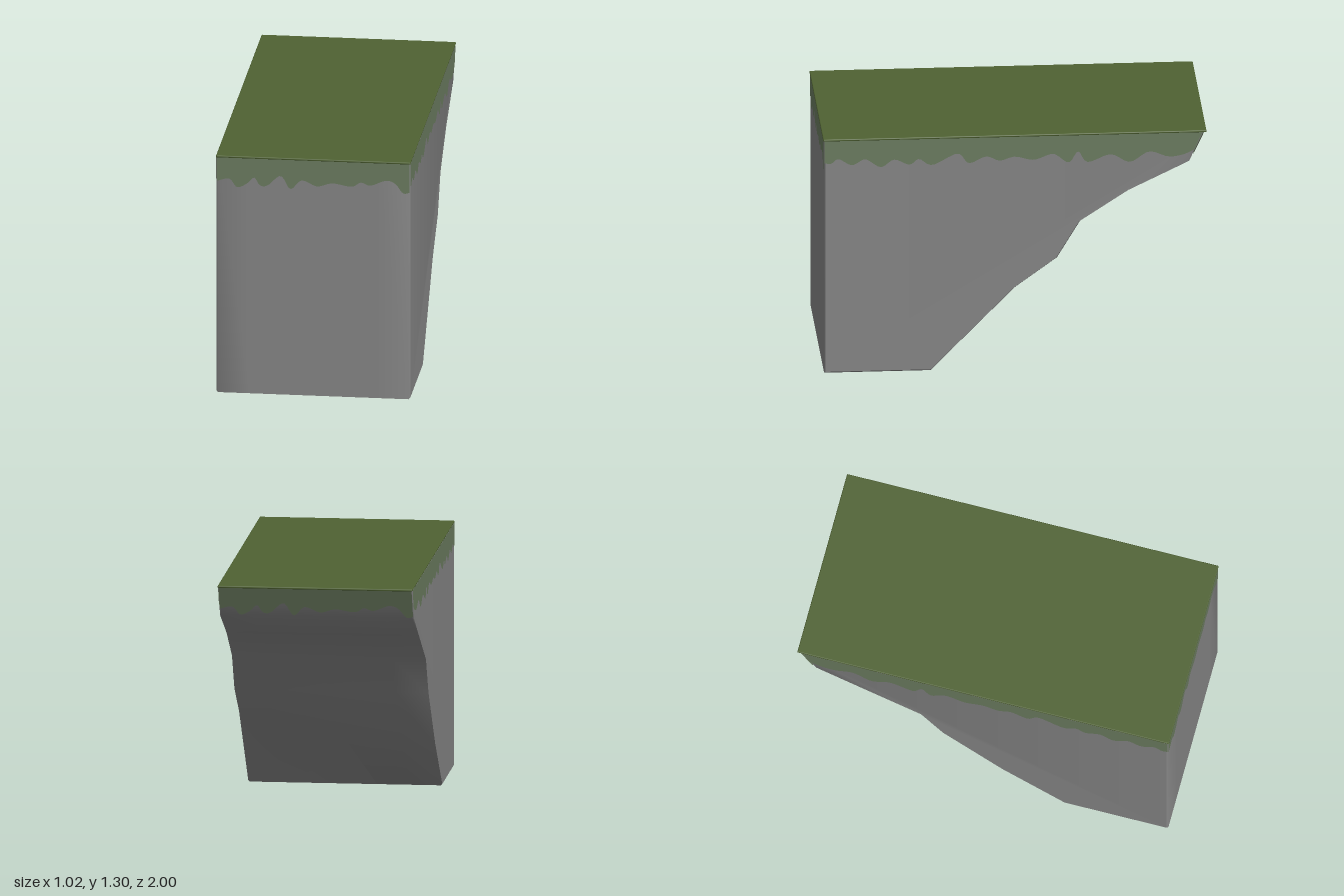
import * as THREE from 'three';
import { toCreasedNormals } from 'three/addons/utils/BufferGeometryUtils.js';
import { RoundedBoxGeometry } from 'three/addons/geometries/RoundedBoxGeometry.js';

const HALF = 0.508;

// Side outlines as [z, y]; the overhang differs slightly on the two sides
const outlineLeft = [[0.995, 0], [0.44, 0], [0, 0.45], [-0.22, 0.61], [-0.34, 0.81],
  [-0.6, 0.98], [-0.91, 1.13], [-0.985, 1.292], [0.995, 1.292]];
const outlineRight = outlineLeft.map((p) => [...p]);
outlineRight[2] = [0.1, 0.28];
outlineRight[5] = [-0.68, 1.0];

// Lower edges of the moss as [along, y]
const mossFront = [[-0.505, 1.16], [-0.44, 1.175], [-0.4, 1.13], [-0.35, 1.15], [-0.31, 1.185], [-0.28, 1.145],
  [-0.24, 1.145], [-0.17, 1.2], [-0.12, 1.13], [-0.06, 1.18], [0.02, 1.15], [0.1, 1.17], [0.2, 1.155], [0.25, 1.18],
  [0.3, 1.165], [0.38, 1.195], [0.43, 1.18], [0.47, 1.13], [0.505, 1.135]];
const mossSide = [[-0.935, 1.195], [-0.88, 1.17], [-0.8, 1.16], [-0.7, 1.19], [-0.6, 1.135], [-0.5, 1.18], [-0.38, 1.14],
  [-0.33, 1.2], [-0.28, 1.14], [-0.2, 1.19], [-0.1, 1.16], [0, 1.18], [0.08, 1.16], [0.15, 1.185], [0.24, 1.15],
  [0.3, 1.205], [0.43, 1.145], [0.5, 1.18], [0.55, 1.15], [0.63, 1.18], [0.7, 1.14], [0.78, 1.185], [0.85, 1.155],
  [0.92, 1.19], [0.96, 1.165], [0.994, 1.17]];

// Rock: lofted across x from one outline to the other, with narrow bevels at the sides
function rockGeometry() {
  const inset = ([z, y]) => [0.25 + (z - 0.25) * 0.99, 0.75 + (y - 0.75) * 0.99];
  const rings = [];
  for (let i = 0; i <= 6; i++) {
    const t = i / 6;
    const pts = outlineRight.map(([z, y], k) => [
      z + (outlineLeft[k][0] - z) * t, y + (outlineLeft[k][1] - y) * t]);
    rings.push({ x: -0.5 + t, pts });
  }
  rings.unshift({ x: -HALF, pts: outlineRight.map(inset) });
  rings.push({ x: HALF, pts: outlineLeft.map(inset) });

  const n = outlineLeft.length;
  const position = rings.flatMap(({ x, pts }) => pts.flatMap(([z, y]) => [x, y, z]));
  const index = [];
  for (let r = 0; r < rings.length - 1; r++) {
    for (let i = 0; i < n; i++) {
      const j = (i + 1) % n;
      const a = r * n + i, d = r * n + j, b = a + n, c = d + n;
      index.push(a, d, c, a, c, b);
    }
  }
  // flat side caps
  const cap = (ring) => THREE.ShapeUtils.triangulateShape(
    ring.pts.map(([z, y]) => new THREE.Vector2(-z, y)), []);
  const last = (rings.length - 1) * n;
  cap(rings[0]).forEach(([a, b, c]) => index.push(a, c, b));
  cap(rings[rings.length - 1]).forEach(([a, b, c]) => index.push(last + a, last + b, last + c));

  const geo = new THREE.BufferGeometry();
  geo.setAttribute('position', new THREE.Float32BufferAttribute(position, 3));
  geo.setIndex(index);
  return toCreasedNormals(geo, 0.75);
}

// Moss sheet: wavy lower edge, straight top, placed in space by a mapping rule
function mossGeometry(edge, topStart, topEnd, place) {
  const shape = new THREE.Shape();
  shape.moveTo(...edge[0]);
  shape.splineThru(edge.slice(1).map((p) => new THREE.Vector2(...p)));
  shape.lineTo(topEnd, 1.29);
  shape.lineTo(topStart, 1.29);
  const geo = new THREE.ShapeGeometry(shape, 4);
  const pos = geo.attributes.position;
  for (let i = 0; i < pos.count; i++) pos.setXYZ(i, ...place(pos.getX(i), pos.getY(i)));
  geo.computeVertexNormals();
  return geo;
}

export function createModel() {
  const stone = new THREE.MeshStandardMaterial({ color: 0x868686, side: THREE.DoubleSide });
  stone.name = 'stone';
  const moss = new THREE.MeshStandardMaterial({ color: 0x6b7c60, side: THREE.DoubleSide });
  moss.name = 'moss';
  const grass = new THREE.MeshStandardMaterial({ color: 0x4f6232 });
  grass.name = 'grass';

  const group = new THREE.Group();
  group.name = 'cliffLedge';
  const add = (name, geo, mat) => {
    const mesh = new THREE.Mesh(geo, mat);
    mesh.name = name;
    group.add(mesh);
    return mesh;
  };

  add('rock', rockGeometry(), stone);
  add('grassTop', new RoundedBoxGeometry(1.02, 0.012, 2, 2, 0.005), grass).position.y = 1.294;

  // Moss hanging down all four sides
  add('mossFront', mossGeometry(mossFront, -0.505, 0.505, (u, y) => [u, y, 0.998]), moss);
  for (const s of [1, -1]) {
    add(s > 0 ? 'mossLeft' : 'mossRight',
      mossGeometry(mossSide, -0.978, 0.994, (u, y) => [s * (HALF + 0.002), y, u]), moss);
  }
  // the back sheet follows the slanted lip
  add('mossBack', mossGeometry(mossFront, -0.505, 0.505,
    (u, y) => [-u, y + 0.005, -0.914 - (y + 0.005 - 1.13) * (0.075 / 0.162)]), moss);

  return group;
}
